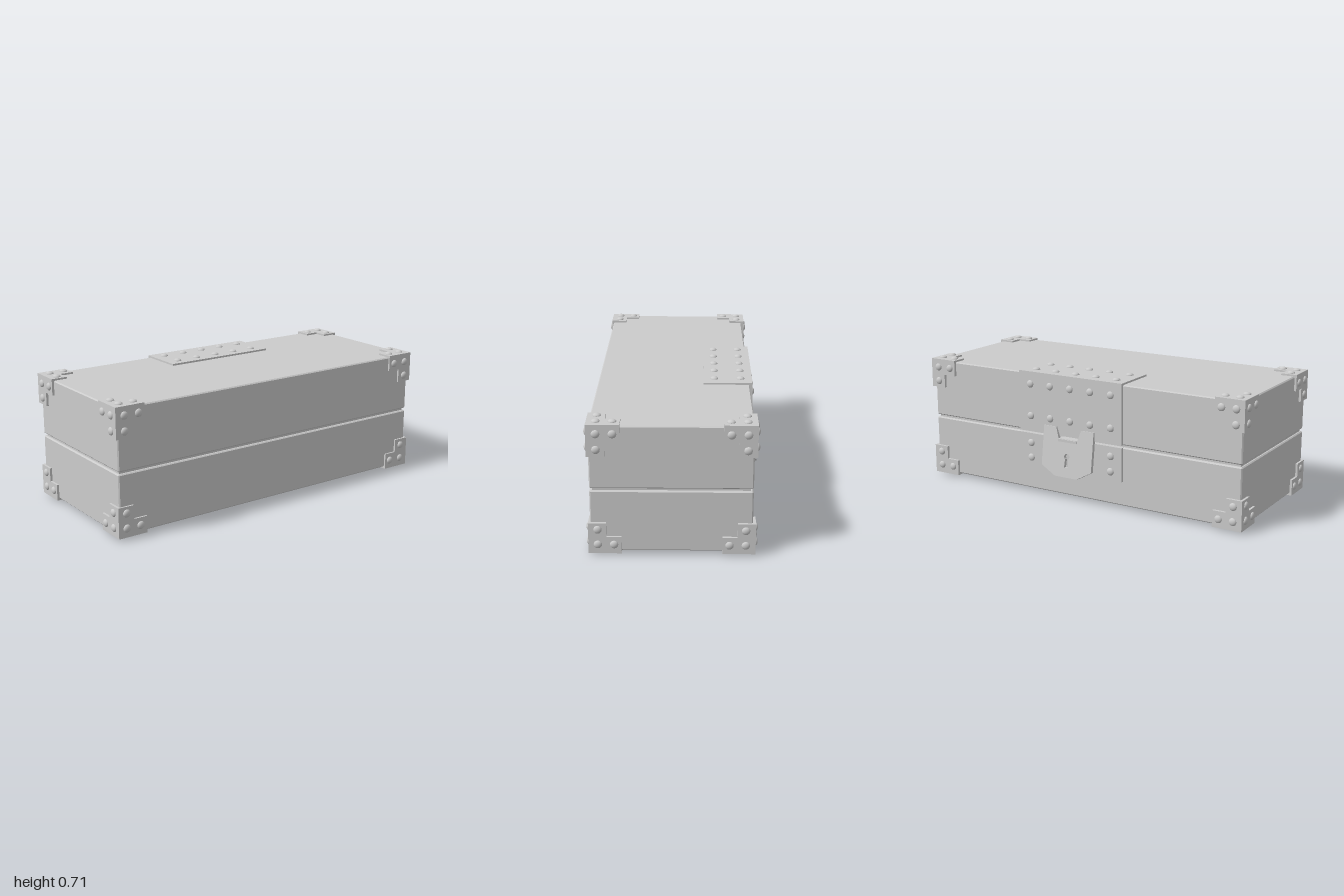
import * as THREE from 'three';
import { ConvexGeometry } from 'three/addons/geometries/ConvexGeometry.js';

const mat = new THREE.MeshStandardMaterial({ color: 0xcccccc });
const rivetGeo = new THREE.SphereGeometry(0.021, 16, 6, 0, Math.PI * 2, 0, Math.PI / 2).scale(1, 0.58, 1);

function add(parent, name, geo, x = 0, y = 0, z = 0) {
  const mesh = new THREE.Mesh(geo, mat);
  mesh.name = name;
  mesh.position.set(x, y, z);
  parent.add(mesh);
  return mesh;
}

// Box given by its limits
function box(parent, name, x0, x1, y0, y1, z0, z1) {
  return add(parent, name, new THREE.BoxGeometry(x1 - x0, y1 - y0, z1 - z0),
    (x0 + x1) / 2, (y0 + y1) / 2, (z0 + z1) / 2);
}

// Box with narrow flat chamfers on every edge
function chamferBox(w, h, d, c) {
  const pts = [];
  for (const sx of [-1, 1]) for (const sy of [-1, 1]) for (const sz of [-1, 1]) {
    const x = sx * w / 2, y = sy * h / 2, z = sz * d / 2;
    pts.push(new THREE.Vector3(x, y - sy * c, z - sz * c),
      new THREE.Vector3(x - sx * c, y, z - sz * c),
      new THREE.Vector3(x - sx * c, y - sy * c, z));
  }
  return new ConvexGeometry(pts);
}

// Domed rivet whose head points along the given normal
function rivet(parent, pos, normal) {
  const r = add(parent, 'rivet', rivetGeo, ...pos);
  r.quaternion.setFromUnitVectors(new THREE.Vector3(0, 1, 0), new THREE.Vector3(...normal));
}

function polygon(points) {
  return new THREE.Shape(points.map(p => new THREE.Vector2(...p)));
}

// Corner guard: three L plates meeting at the origin, reaching to -x, -y, -z
function cornerGuard() {
  const g = new THREE.Group();
  g.name = 'cornerGuard';
  const a = 0.165, b = 0.09, t = 0.015;
  const shape = polygon([[0, 0], [-a, 0], [-a, -b], [-b, -b], [-b, -a], [0, -a]]);
  const geo = new THREE.ExtrudeGeometry(shape, { depth: t, bevelEnabled: false }).translate(0, 0, -t);
  const turns = [[0, 0, 0], [Math.PI / 2, 0, Math.PI / 2], [-Math.PI / 2, -Math.PI / 2, 0]];
  const spots = [[0.047, 0.049], [0.128, 0.049], [0.047, 0.13]];
  // Cycling the axes carries the plate from the z face to the x and y faces
  const cycle = new THREE.Matrix4().set(0, 0, 1, 0, 1, 0, 0, 0, 0, 1, 0, 0, 0, 0, 0, 1);
  const m = new THREE.Matrix4();
  for (let i = 0; i < turns.length; i++) {
    add(g, 'cornerPlate', geo.clone().applyMatrix4(m));
    const n = new THREE.Vector3(0, 0, 1).applyMatrix4(m).toArray();
    for (const [u, v] of spots) rivet(g, new THREE.Vector3(-u, -v, 0).applyMatrix4(m).toArray(), n);
    m.premultiply(cycle);
  }
  return g;
}

// Tilted hasp with two upper tabs, angled lower corners and a keyhole
function hasp() {
  const shape = polygon([[-0.16, 0], [-0.16, -0.22], [-0.07, -0.27], [0.07, -0.27], [0.16, -0.22],
    [0.16, 0], [0.08, 0], [0.06, -0.06], [-0.06, -0.06], [-0.08, 0]]);
  const hole = new THREE.Path();
  hole.absarc(0, -0.155, 0.017, -Math.PI * 0.3, Math.PI * 1.3, false);
  hole.lineTo(-0.013, -0.215);
  hole.lineTo(0.013, -0.215);
  hole.closePath();
  shape.holes.push(hole);
  return new THREE.ExtrudeGeometry(shape, { depth: 0.02, bevelEnabled: false, curveSegments: 8 })
    .rotateY(-Math.PI / 2);
}

export function createModel() {
  const model = new THREE.Group();
  model.name = 'chest';

  // Body halves with a recessed seam
  add(model, 'base', chamferBox(0.805, 0.325, 1.955, 0.006), 0.0175, 0.1875, 0);
  add(model, 'lid', chamferBox(0.805, 0.327, 1.955, 0.006), 0.0175, 0.5265, 0);
  box(model, 'seamCore', -0.37, 0.406, 0.3, 0.41, -0.965, 0.965);

  // Corner guards, turned into all eight corners
  for (const flip of [0, Math.PI]) for (let k = 0; k < 4; k++) {
    const c = cornerGuard();
    c.rotation.set(flip, k * Math.PI / 2, 0);
    const s = new THREE.Vector3(1, 1, 1).applyEuler(c.rotation).round();
    c.position.set(0.015 + s.x * 0.415, 0.3575 + s.y * 0.3425, s.z * 0.99);
    model.add(c);
  }

  // Lock plates: over the lid top, down its side, and on the base
  const lock = new THREE.Group();
  lock.name = 'lock';
  model.add(lock);
  box(lock, 'topPlate', -0.4, -0.14, 0.685, 0.7, -0.368, 0.288);
  box(lock, 'lidPlate', -0.4, -0.38, 0.363, 0.7, -0.368, 0.288);
  box(lock, 'basePlate', -0.4, -0.38, 0.16, 0.35, -0.368, 0.288);
  for (let i = 0; i < 5; i++) {
    const z = -0.295 + i * 0.1285;
    for (const x of [-0.338, -0.198]) rivet(lock, [x, 0.7, z], [0, 1, 0]);
    for (const y of [0.63, 0.45]) rivet(lock, [-0.4, y, z], [-1, 0, 0]);
    if (i % 4 === 0) for (const y of [0.295, 0.21]) rivet(lock, [-0.4, y, z], [-1, 0, 0]);
  }

  // Hasp and the strap holding it at the seam
  add(lock, 'hasp', hasp(), -0.39, 0.41, -0.04).rotation.z = -0.136;
  box(lock, 'haspStrap', -0.424, -0.37, 0.338, 0.352, -0.1, 0.02);

  return model;
}
